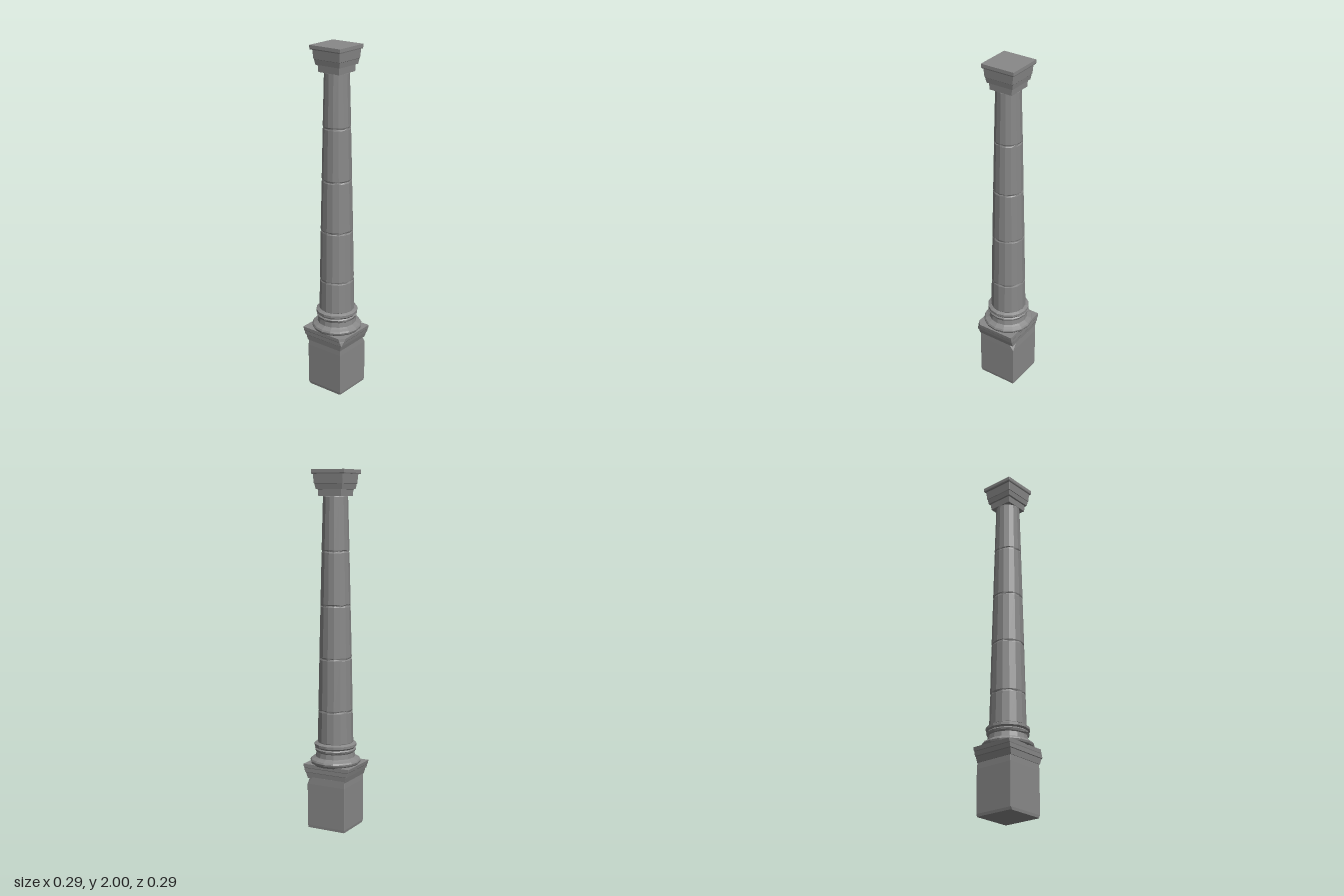
import * as THREE from 'three';

const material = new THREE.MeshStandardMaterial({ color: 0x888888, flatShading: true });

function addPart(group, name, geometry) {
  const mesh = new THREE.Mesh(geometry, material);
  mesh.name = name;
  group.add(mesh);
}

// Skins a stack of closed rings (corner loops running +z towards +x) and caps both ends.
function loft(rings) {
  const n = rings[0].length, index = [];
  for (let r = 0; r < rings.length - 1; r++) {
    for (let i = 0; i < n; i++) {
      const a = r * n + i, b = r * n + (i + 1) % n;
      index.push(a, b, b + n, a, b + n, a + n);
    }
  }
  const top = (rings.length - 1) * n;
  for (let i = 1; i < n - 1; i++) index.push(0, i + 1, i, top, top + i, top + i + 1);
  const geometry = new THREE.BufferGeometry();
  geometry.setAttribute('position', new THREE.Float32BufferAttribute(rings.flat(2), 3));
  geometry.setIndex(index);
  const flat = geometry.toNonIndexed();
  flat.computeVertexNormals();
  return flat;
}

// Rectangle with a separate corner cut: [front right, back right, back left, front left]
function square(y, x0, x1, z0, z1, cuts = [0.001, 0.001, 0.001, 0.001]) {
  const [a, b, c, d] = cuts;
  return [
    [x1 - a, y, z1], [x1, y, z1 - a], [x1, y, z0 + b], [x1 - b, y, z0],
    [x0 + c, y, z0], [x0, y, z0 + c], [x0, y, z1 - d], [x0 + d, y, z1],
  ];
}

// Sixteen-sided ring, optionally worn by a repeating wobble
function round(y, radius, wear = 0, seed = 0) {
  return Array.from({ length: 16 }, (_, i) => {
    const t = i * Math.PI / 8;
    const r = radius - wear * (0.5 + 0.5 * Math.sin(i * 2.4 + seed));
    return [r * Math.sin(t), y + wear * Math.sin(i * 1.9 + seed * 2), r * Math.cos(t)];
  });
}

export function createModel() {
  const column = new THREE.Group();
  column.name = 'column';

  // Worn pedestal block, chipped at its front right upper corner
  addPart(column, 'pedestal', loft([
    square(0, -0.117, 0.113, -0.115, 0.115, [0.004, 0.004, 0.01, 0.006]),
    square(0.015, -0.119, 0.114, -0.117, 0.117),
    square(0.255, -0.119, 0.115, -0.117, 0.117),
    square(0.295, -0.118, 0.113, -0.115, 0.116, [0.03, 0.002, 0.004, 0.002]),
  ]));

  // Stepped cornice, broken at the front left corner
  addPart(column, 'pedestalCornice', loft([
    square(0.288, -0.122, 0.112, -0.118, 0.118),
    square(0.32, -0.126, 0.115, -0.127, 0.128),
    square(0.323, -0.129, 0.116, -0.132, 0.133),
    square(0.345, -0.13, 0.116, -0.137, 0.138, [0.001, 0.001, 0.001, 0.015]),
    square(0.348, -0.131, 0.117, -0.14, 0.14, [0.001, 0.001, 0.001, 0.02]),
    square(0.368, -0.132, 0.117, -0.144, 0.143, [0.001, 0.001, 0.001, 0.028]),
  ]));

  // Base mouldings
  addPart(column, 'baseMouldings', loft([
    round(0.362, 0.13), round(0.374, 0.14), round(0.385, 0.143), round(0.394, 0.138),
    round(0.402, 0.122), round(0.408, 0.112), round(0.435, 0.108),
    round(0.442, 0.115, 0.003, 1), round(0.452, 0.117),
    round(0.459, 0.111), round(0.468, 0.119), round(0.482, 0.119), round(0.49, 0.103),
  ]));

  // Tapering shaft drums with chipped joints
  const joints = [[0.485, 0.1], [0.672, 0.096], [0.968, 0.09], [1.263, 0.083], [1.56, 0.076], [1.862, 0.068]];
  for (let i = 0; i < joints.length - 1; i++) {
    const [y0, r0] = joints[i], [y1, r1] = joints[i + 1];
    addPart(column, 'shaftDrum' + (i + 1), loft([
      round(y0, r0, 0.004, i), round(y0 + 0.008, r0 + 0.001),
      round(y1 - 0.008, r1 + 0.001), round(y1, r1, 0.004, i + 1),
    ]));
  }

  // Square capital stepping out to the abacus
  const step = (y, h) => square(y, -h, h, -h - 0.002, h);
  addPart(column, 'capital', loft([
    step(1.857, 0.069), step(1.894, 0.071), step(1.896, 0.08),
    step(1.925, 0.085), step(1.927, 0.087), step(1.977, 0.091),
  ]));
  addPart(column, 'abacus', loft([
    square(1.976, -0.098, 0.097, -0.103, 0.096),
    square(1.982, -0.1, 0.099, -0.105, 0.098),
    square(2, -0.1, 0.099, -0.105, 0.098),
  ]));

  return column;
}
